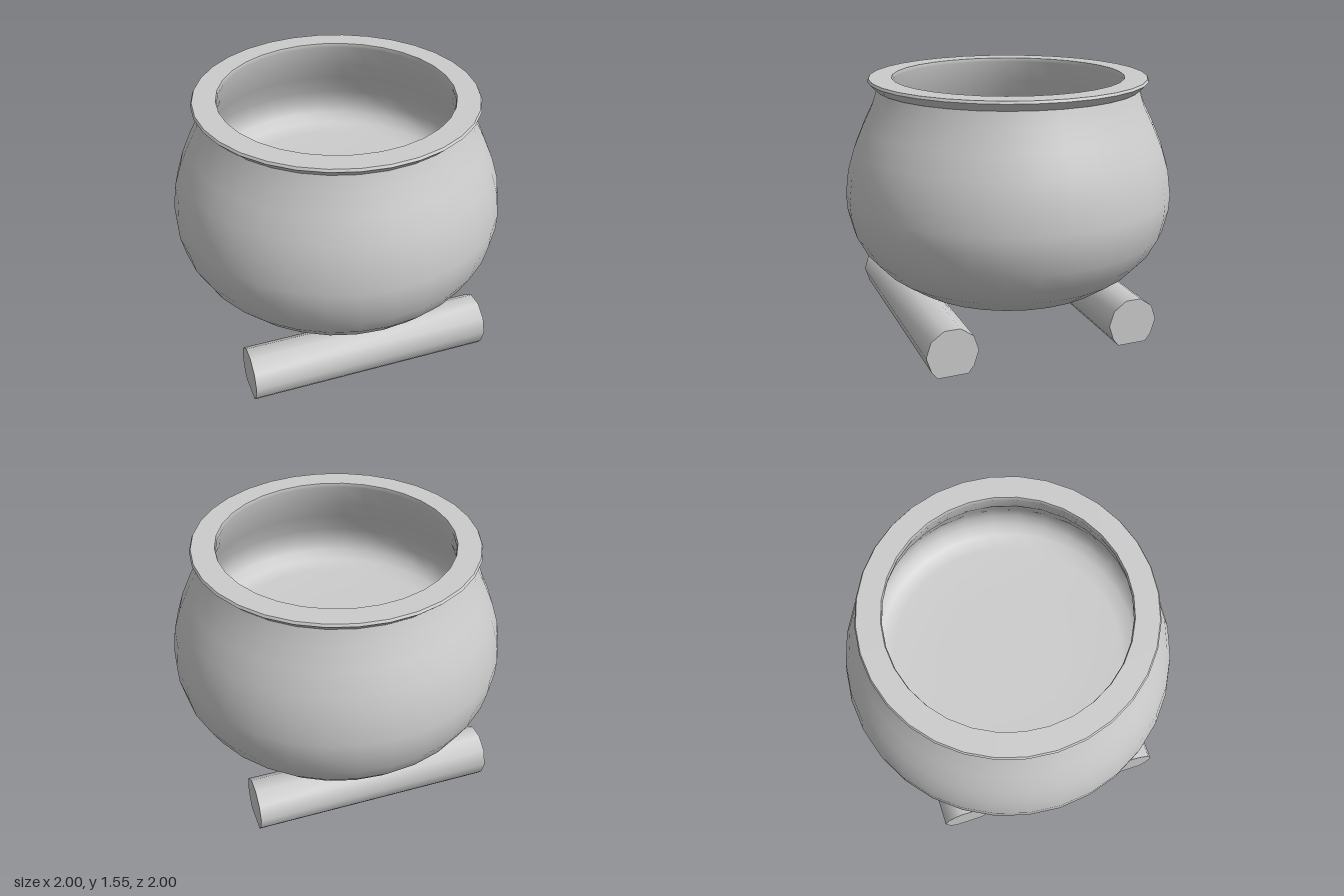
import * as THREE from 'three';
import { toCreasedNormals } from 'three/addons/utils/BufferGeometryUtils.js';

export function createModel() {
  const model = new THREE.Group();
  model.name = 'cauldronOnLogs';
  const material = new THREE.MeshStandardMaterial({ color: 0xcccccc });

  const add = (parent, name, geometry) => {
    const mesh = new THREE.Mesh(geometry, material);
    mesh.name = name;
    parent.add(mesh);
    return mesh;
  };
  // Revolve a profile of [radius, height] pairs
  const lathe = (profile) =>
    new THREE.LatheGeometry(profile.map(([r, y]) => new THREE.Vector2(r, y)), 32);

  const pot = new THREE.Group();
  pot.name = 'pot';
  model.add(pot);

  // Rounded outer wall, from the base up to the neck
  add(pot, 'potOuterWall', lathe([
    [0, 0.21], [0.37, 0.22], [0.65, 0.295], [0.8, 0.4], [0.9, 0.51], [0.965, 0.63],
    [0.995, 0.76], [1, 0.86], [0.98, 1.01], [0.94, 1.14], [0.88, 1.28], [0.825, 1.39], [0.79, 1.495],
  ]));

  // Inner wall, from the mouth down into a broad, nearly level floor
  add(pot, 'potInnerWall', lathe([
    [0.7, 1.555], [0.695, 1.53], [0.735, 1.39], [0.79, 1.27], [0.845, 1.14], [0.86, 1.05],
    [0.84, 0.98], [0.79, 0.93], [0.7, 0.905], [0.35, 0.9], [0, 0.9],
  ]));

  // Flared rim with a flat top
  add(pot, 'rim', toCreasedNormals(lathe([
    [0.785, 1.492], [0.797, 1.493], [0.845, 1.54], [0.837, 1.555], [0.7, 1.555],
  ]), 0.4));

  // Ten-sided logs, flattened where they rest on the ground
  const radius = 0.155, centreY = 0.135;
  const section = new THREE.Shape();
  section.moveTo(-0.09, 0);
  section.lineTo(0.09, 0);
  for (let i = -1; i <= 6; i++) {
    const a = (i * Math.PI) / 5;
    section.lineTo(radius * Math.cos(a), centreY + radius * Math.sin(a));
  }
  section.closePath();
  const logGeometry = toCreasedNormals(
    new THREE.ExtrudeGeometry(section, { depth: 1.47, bevelEnabled: false }).rotateY(Math.PI / 2), 0.7);

  for (const [name, z] of [['frontLog', 0.61], ['backLog', -0.525]]) {
    add(model, name, logGeometry).position.set(-0.765, 0, z);
  }
  return model;
}
